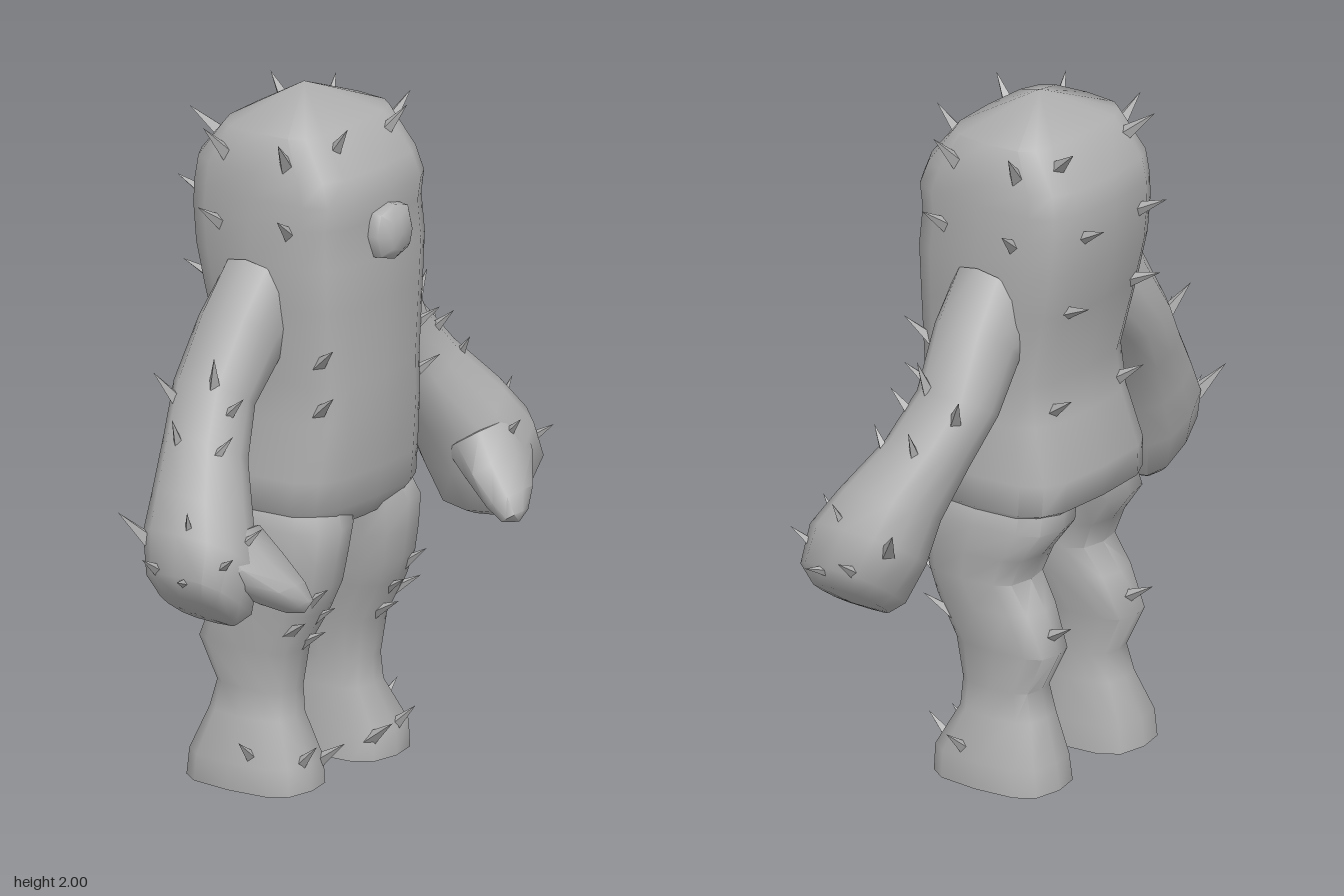
import * as THREE from 'three';
import { toCreasedNormals } from 'three/addons/utils/BufferGeometryUtils.js';

const grey = new THREE.MeshStandardMaterial({ color: 0xb0b0b0 });
grey.name = 'grey skin';
const V = (x, y, z) => new THREE.Vector3(x, y, z);

// Skin between rings { c, u, v, p }; u x v points along the loft, p < 1 squares the ring.
function loft(rings, start, end, n = 16, mirror = false) {
  const pos = [], index = [];
  const pow = (t, p) => Math.sign(t) * Math.pow(Math.abs(t), p);
  for (const { c, u, v, p } of rings) {
    for (let j = 0; j < n; j++) {
      const a = (j / n) * Math.PI * 2;
      const q = c.clone().addScaledVector(u, pow(Math.cos(a), p)).addScaledVector(v, pow(Math.sin(a), p));
      pos.push(q.x, q.y, q.z);
    }
  }
  const tri = (a, b, c) => (mirror ? index.push(a, c, b) : index.push(a, b, c));
  for (let i = 0; i < rings.length - 1; i++) {
    for (let j = 0; j < n; j++) {
      const k = (j + 1) % n, a = i * n, b = a + n;
      tri(a + j, a + k, b + k);
      tri(a + j, b + k, b + j);
    }
  }
  const s = rings.length * n, last = s - n;
  pos.push(start.x, start.y, start.z, end.x, end.y, end.z);
  for (let j = 0; j < n; j++) {
    const k = (j + 1) % n;
    tri(s, k, j);
    tri(s + 1, last + j, last + k);
  }
  const g = new THREE.BufferGeometry();
  g.setAttribute('position', new THREE.Float32BufferAttribute(pos, 3));
  g.setIndex(index);
  if (mirror) g.scale(-1, 1, 1);
  return toCreasedNormals(g, 1.0);
}

// Upright ring from its x range and z range
const level = (y, x0, x1, z0, z1, p) => ({
  c: V((x0 + x1) / 2, y, (z0 + z1) / 2), u: V(0, 0, (z1 - z0) / 2), v: V((x1 - x0) / 2, 0, 0), p,
});

// Ring across a limb that runs along dir; w is its half width, z0 to z1 its depth
const across = (x, y, z0, z1, w, dir, p = 0.8) => ({
  c: V(x, y, (z0 + z1) / 2), u: V(0, 0, (z1 - z0) / 2),
  v: dir.clone().normalize().cross(V(0, 0, 1)).multiplyScalar(w), p,
});

// Base point and pointing direction of each thorn on the model's left
const THORNS = {
  headThorn: [
    [0.25, 1.85, 0.08, 0.6, 0.7, 0.2], [0.25, 1.85, -0.14, 0.6, 0.7, -0.2],
    [0.265, 1.65, 0.1, 0.8, 0.6, 0.2], [0.265, 1.64, -0.14, 0.8, 0.6, -0.2],
    [0.12, 1.87, 0.16, 0.2, 0.8, 0.6], [0.16, 1.87, -0.23, 0.3, 0.6, -0.7],
    [0.13, 1.66, -0.29, 0.2, 0.5, -1],
  ],
  bodyThorn: [
    [0.22, 1.27, 0.18, 0.3, 0.6, 0.7], [0.22, 1.13, 0.18, 0.3, 0.6, 0.7],
    [0.15, 1.43, -0.25, 0.2, 0.4, -1], [0.15, 1.12, -0.2, 0.2, 0.6, -0.9],
  ],
  armThorn: [
    [0.47, 1.24, 0, 0.3, 1, 0.2], [0.5, 1.19, -0.12, 0.5, 0.9, -0.5],
    [0.48, 1.16, 0.05, 0.1, 0.7, 0.7], [0.58, 1.08, -0.04, 0.4, 1, 0],
    [0.57, 1.06, 0.07, -0.2, 0.8, 0.6],
  ],
  handThorn: [
    [0.62, 0.84, 0.2, -0.2, 0.7, 0.7], [0.72, 0.88, 0.1, 0.4, 0.9, 0.2],
    [0.77, 0.78, 0.03, 0.9, 0.6, 0], [0.72, 0.8, 0.2, 0.3, 0.6, 0.8],
    [0.73, 0.86, -0.06, 0.5, 0.7, -0.5], [0.76, 0.76, 0.12, 0.9, 0.3, 0.3],
  ],
  legThorn: [
    [0.22, 0.56, 0.14, 0.1, 0.6, 0.8], [0.17, 0.49, 0.11, -0.1, 0.5, 0.8],
    [0.24, 0.47, 0.09, 0.3, 0.5, 0.8], [0.17, 0.42, 0.08, 0, 0.5, 0.9],
    [0.18, 0.45, -0.21, 0.1, 0.5, -0.9],
  ],
  footThorn: [
    [0.22, 0.08, 0.11, 0.1, 0.7, 0.7], [0.3, 0.1, 0, 0.8, 0.7, 0.1],
    [0.12, 0.07, 0.11, -0.1, 0.6, 0.8],
  ],
};

export function createModel() {
  const model = new THREE.Group();
  model.name = 'thornyCreature';
  const add = (name, geometry) => {
    const m = new THREE.Mesh(geometry, grey);
    m.name = name;
    model.add(m);
  };

  // Head and torso in one squarish column with a low pointed crown
  const bodyProfile = [
    [0.765, 0.22, -0.16, 0.17], [0.83, 0.283, -0.262, 0.215], [0.92, 0.279, -0.268, 0.225],
    [1.08, 0.255, -0.22, 0.245], [1.2, 0.25, -0.205, 0.245], [1.42, 0.27, -0.26, 0.25],
    [1.55, 0.277, -0.29, 0.255], [1.66, 0.274, -0.302, 0.245], [1.73, 0.27, -0.302, 0.258],
    [1.8, 0.262, -0.29, 0.23], [1.91, 0.235, -0.2, 0.14],
  ];
  add('body', loft(bodyProfile.map(([y, x, z0, z1]) => level(y, -x, x, z0, z1, 0.54)),
    V(0, 0.765, 0), V(0, 2, -0.04)));

  // Blunt faceted nose
  const noseRings = [[0.2, 0.07], [0.245, 0.083], [0.275, 0.08], [0.3, 0.05]]
    .map(([z, r]) => ({ c: V(0, 1.62, z), u: V(r, 0, 0), v: V(0, r, 0), p: 0.75 }));
  add('nose', loft(noseRings, V(0, 1.62, 0.2), V(0, 1.62, 0.305), 8));

  // Legs from the hollow soles up to the hips
  const legRings = [
    [0, 0.065, 0.33, -0.255, 0.135], [0.08, 0.07, 0.328, -0.245, 0.13],
    [0.2, 0.09, 0.275, -0.2, 0.068], [0.28, 0.1, 0.26, -0.18, 0.065],
    [0.4, 0.088, 0.272, -0.24, 0.085], [0.52, 0.07, 0.28, -0.19, 0.15],
    [0.6, 0.055, 0.282, -0.135, 0.18], [0.68, 0.045, 0.284, -0.17, 0.195],
    [0.77, 0.03, 0.284, -0.238, 0.208], [0.84, 0.01, 0.262, -0.23, 0.18],
  ].map(([y, x0, x1, z0, z1]) => level(y, x0, x1, z0, z1, 0.64));

  // Arms sloping out of broad shoulders and widening into blunt paddle hands
  const shoulder = V(0.85, -0.5, 0), upper = V(0.62, -0.78, 0);
  const down = V(0.5, -0.85, 0), palm = V(0.58, -0.81, 0);
  const armRings = [
    across(0.2, 1.41, -0.15, 0.085, 0.165, shoulder), across(0.29, 1.34, -0.16, 0.08, 0.125, upper),
    across(0.4, 1.19, -0.17, 0.065, 0.1, down), across(0.49, 1.06, -0.135, 0.105, 0.108, down),
    across(0.585, 0.92, -0.1, 0.19, 0.13, down), across(0.64, 0.81, -0.09, 0.25, 0.145, palm),
    across(0.68, 0.7, -0.04, 0.245, 0.145, palm, 0.7), across(0.685, 0.655, 0, 0.21, 0.1, palm, 0.7),
  ];

  // Thumbs webbed to the palm, reaching forward and down
  const thumbRings = [
    [0.61, 0.84, 0.13, 0.13, 0.09], [0.58, 0.77, 0.205, 0.125, 0.07],
    [0.53, 0.7, 0.28, 0.08, 0.055], [0.5, 0.66, 0.32, 0.042, 0.035],
  ].map(([x, y, z, w, t]) => ({ c: V(x, y, z), u: V(w, 0, 0), v: V(0, 0.55 * t, 0.84 * t), p: 0.8 }));

  for (const side of ['left', 'right']) {
    const mirror = side === 'right', s = mirror ? -1 : 1;
    add(side + 'Leg', loft(legRings, V(0.2, 0.05, -0.13), V(0.13, 0.88, 0), 12, mirror));
    add(side + 'Arm', loft(armRings, V(0.14, 1.44, -0.03), V(0.69, 0.645, 0.1), 12, mirror));
    add(side + 'Thumb', loft(thumbRings, V(0.62, 0.86, 0.1), V(0.5, 0.645, 0.335), 8, mirror));

    // Four-sided thorns
    for (const [name, list] of Object.entries(THORNS)) {
      const group = new THREE.Group();
      group.name = side + name[0].toUpperCase() + name.slice(1) + 's';
      for (const [x, y, z, dx, dy, dz] of list) {
        const dir = V(s * dx, dy, dz).normalize();
        const thorn = new THREE.Mesh(toCreasedNormals(new THREE.ConeGeometry(0.024, 0.12, 4), 0.5), grey);
        thorn.name = name;
        thorn.quaternion.setFromUnitVectors(V(0, 1, 0), dir);
        thorn.position.set(s * x, y, z).addScaledVector(dir, 0.034);
        group.add(thorn);
      }
      model.add(group);
    }
  }
  return model;
}
